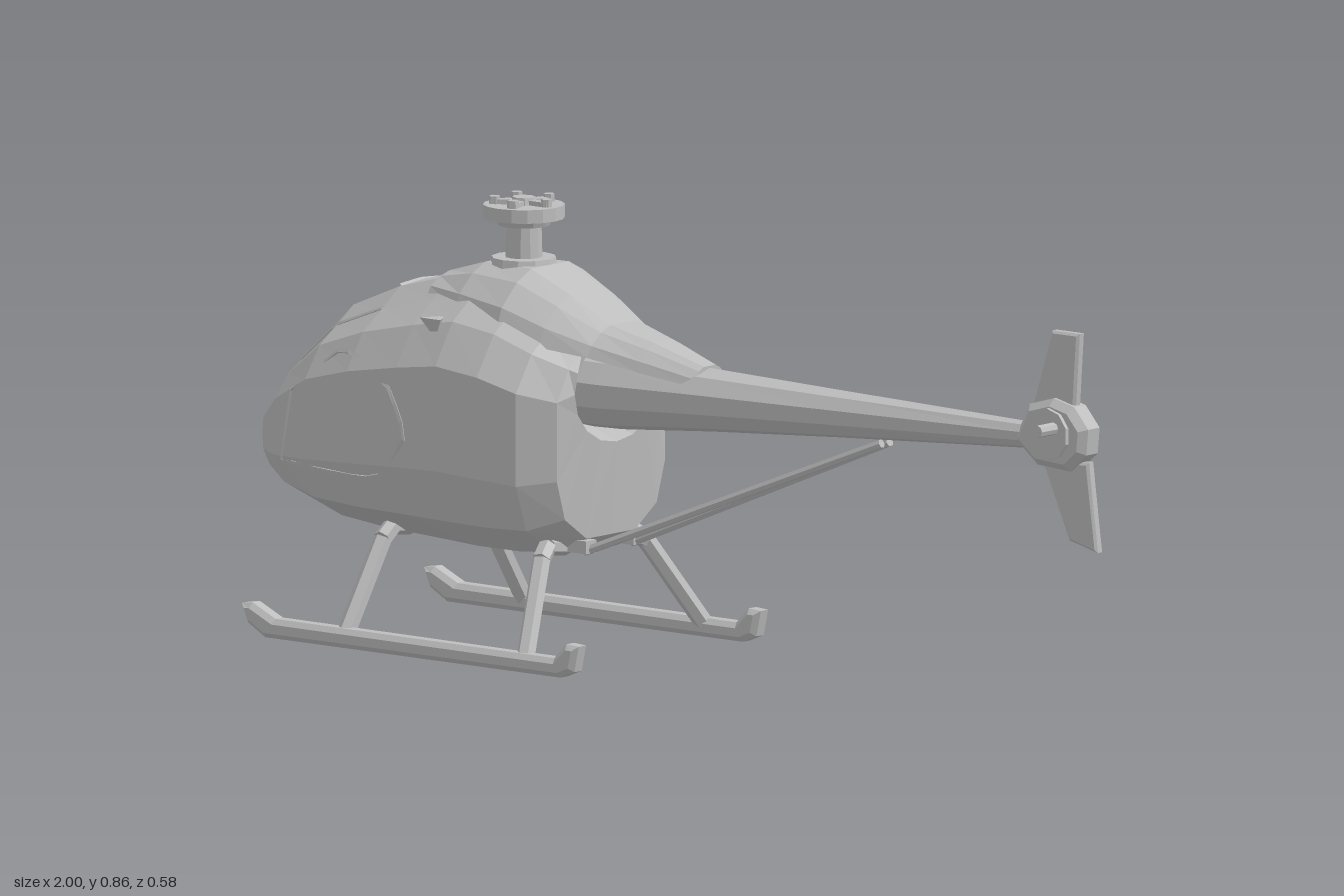
import * as THREE from 'three';

const grey = new THREE.MeshStandardMaterial({ color: 0xbdbdbd, flatShading: true });
grey.name = 'plain grey';

const V = (x, y, z) => new THREE.Vector3(x, y, z);

// Closed skin over equal-length rings that advance along x, with both ends capped.
function loft(rings) {
  const n = rings[0].length, pos = [], idx = [];
  rings.forEach(r => r.forEach(p => pos.push(p.x, p.y, p.z)));
  for (let i = 0; i < rings.length - 1; i++) {
    for (let k = 0; k < n; k++) {
      const a = i * n + k, b = i * n + (k + 1) % n;
      idx.push(a, a + n, b, b, a + n, b + n);
    }
  }
  [0, rings.length - 1].forEach((ri, end) => {
    const c = pos.length / 3;
    const m = rings[ri].reduce((s, p) => s.add(p), V(0, 0, 0)).divideScalar(n);
    pos.push(m.x, m.y, m.z);
    for (let k = 0; k < n; k++) {
      const a = ri * n + k, b = ri * n + (k + 1) % n;
      if (end) idx.push(c, b, a); else idx.push(c, a, b);
    }
  });
  const g = new THREE.BufferGeometry();
  g.setAttribute('position', new THREE.Float32BufferAttribute(pos, 3));
  g.setIndex(idx);
  const flat = g.toNonIndexed();
  flat.computeVertexNormals();
  return flat;
}

// Mirrors a half section (bottom to top on +z) into a full ring.
const mirrorRing = half => [...half, ...half.slice(1, -1).reverse().map(p => V(p.x, p.y, -p.z))];

const ovalRing = (x, y, rz, ry, n) => Array.from({ length: n }, (_, k) => {
  const a = (k / n) * Math.PI * 2;
  return V(x, y - Math.cos(a) * ry, Math.sin(a) * rz);
});

// Hull section shape: [share of half width, share of height]
const profile = [[0, 0], [0.45, 0], [0.85, 0.11], [1, 0.3], [1, 0.68], [0.78, 0.83], [0.52, 0.91], [0.28, 0.99], [0, 1]];
// Hull stations: x, bottom, top, half width
const stations = [
  [-1, 0.325, 0.39, 0.085], [-0.965, 0.285, 0.45, 0.125], [-0.9, 0.25, 0.535, 0.168], [-0.8, 0.22, 0.625, 0.2],
  [-0.68, 0.21, 0.675, 0.22], [-0.55, 0.205, 0.71, 0.23], [-0.45, 0.2, 0.732, 0.233], [-0.35, 0.2, 0.715, 0.23],
  [-0.27, 0.205, 0.675, 0.21], [-0.21, 0.235, 0.635, 0.16],
];
const hullPoint = ([x, b, t, w], [pz, py]) => V(x, b + (t - b) * py, w * pz);

// Half width of the hull at a given x and y
function hullZ(x, y) {
  let i = 0;
  while (i < stations.length - 2 && stations[i + 1][0] < x) i++;
  const f = (x - stations[i][0]) / (stations[i + 1][0] - stations[i][0]);
  const [, b, t, w] = stations[i].map((v, k) => v + (stations[i + 1][k] - v) * f);
  const py = (y - b) / (t - b);
  let k = 1;
  while (k < profile.length - 2 && profile[k + 1][1] < py) k++;
  const [p, q] = [profile[k], profile[k + 1]];
  return w * (p[0] + (q[0] - p[0]) * (py - p[1]) / (q[1] - p[1]));
}

// Slim seam following a run of points
function seam(points, closed, r = 0.005) {
  return new THREE.TubeGeometry(new THREE.CatmullRomCurve3(points, closed, 'catmullrom', 0), points.length * 3, r, 4, closed);
}

function bar(a, b, r, sides = 6) {
  const d = b.clone().sub(a);
  const g = new THREE.CylinderGeometry(r, r, d.length(), sides);
  g.applyQuaternion(new THREE.Quaternion().setFromUnitVectors(V(0, 1, 0), d.clone().normalize()));
  return g.translate((a.x + b.x) / 2, (a.y + b.y) / 2, (a.z + b.z) / 2);
}

// Flat plate drawn in x and y, centred on z
function plate(points, depth, bevel = 0) {
  const s = new THREE.Shape(points.map(p => new THREE.Vector2(...p)));
  return new THREE.ExtrudeGeometry(s, {
    depth: depth - 2 * bevel, bevelEnabled: bevel > 0, bevelSize: bevel, bevelOffset: -bevel,
    bevelThickness: bevel, bevelSegments: 1,
  }).translate(0, 0, -depth / 2 + bevel);
}

export function createModel() {
  const model = new THREE.Group();
  model.name = 'helicopter';
  const add = (name, geo, parent = model) => {
    const m = new THREE.Mesh(geo, grey);
    m.name = name;
    parent.add(m);
    return m;
  };
  const disc = (name, r1, r2, y0, y1, sides = 12) =>
    add(name, new THREE.CylinderGeometry(r2, r1, y1 - y0, sides).translate(-0.425, (y0 + y1) / 2, 0));

  // Hull, ending in a funnel around the boom root
  const rings = stations.map(s => mirrorRing(profile.map(p => hullPoint(s, p))));
  rings.push(ovalRing(-0.195, 0.52, 0.125, 0.105, 16), ovalRing(-0.28, 0.52, 0.075, 0.07, 16));
  add('hull', loft(rings));

  // Engine cowling and its beak: x, base, top, half width
  const arch = [[0, 0], [1, 0], [0.9, 0.4], [0.62, 0.8], [0.35, 1], [0, 1]];
  const cowl = [[-0.58, 0.67, 0.708, 0.1], [-0.48, 0.65, 0.737, 0.14], [-0.36, 0.63, 0.737, 0.16],
    [-0.27, 0.605, 0.695, 0.14], [-0.18, 0.59, 0.645, 0.105], [-0.08, 0.57, 0.62, 0.08], [0.035, 0.55, 0.585, 0.05]];
  add('engineCowling', loft(cowl.map(s => mirrorRing(arch.map(p => hullPoint(s, p))))));

  // Tail boom
  const boom = [[-0.28, 0.512, 0.085, 0.075], [-0.18, 0.513, 0.085, 0.073], [0.04, 0.52, 0.072, 0.061],
    [0.35, 0.527, 0.053, 0.046], [0.84, 0.537, 0.025, 0.025]];
  add('tailBoom', loft(boom.map(([x, y, rz, ry]) => ovalRing(x, y, rz, ry, 10))));

  // Tail gearbox, fins and rotor shaft
  add('tailGearbox', plate([[0.805, 0.53], [0.84, 0.6], [0.9, 0.617], [0.95, 0.605], [0.985, 0.565],
    [0.98, 0.515], [0.94, 0.48], [0.86, 0.485]].reverse(), 0.062, 0.014));
  add('upperFin', plate([[0.84, 0.595], [0.945, 0.595], [0.955, 0.745], [0.888, 0.745]], 0.022, 0.005));
  add('lowerFin', plate([[0.865, 0.49], [0.93, 0.345], [1, 0.328], [0.978, 0.5]], 0.022, 0.005));
  add('tailRotorCap', new THREE.CylinderGeometry(0.05, 0.05, 0.078, 10).rotateX(Math.PI / 2).translate(0.9, 0.55, 0));
  add('tailRotorShaft', bar(V(0.917, 0.563, 0.03), V(0.917, 0.563, 0.087), 0.012, 8));

  // Rotor mast and hub
  disc('mastBase', 0.066, 0.062, 0.725, 0.747);
  disc('mast', 0.036, 0.034, 0.74, 0.815);
  disc('hubCollar', 0.05, 0.056, 0.808, 0.822);
  disc('hubPlate', 0.078, 0.078, 0.822, 0.848, 16);
  disc('hubCap', 0.025, 0.022, 0.845, 0.862, 8);
  for (let i = 0; i < 5; i++) {
    const a = (i / 5) * Math.PI * 2;
    add('hubArm', new THREE.BoxGeometry(0.055, 0.012, 0.018).translate(0.035, 0, 0).rotateY(a).translate(-0.425, 0.851, 0));
    add('hubBolt', new THREE.CylinderGeometry(0.011, 0.011, 0.02, 6)
      .translate(0.056 * Math.cos(a), 0.853, -0.056 * Math.sin(a)).translate(-0.425, 0, 0));
  }

  // Windscreen cross seam
  add('windscreenSeam', seam([7, 8, 9].map(k => rings[4][k]), false));

  const doorOutline = [[-0.88, 0.33], [-0.845, 0.47], [-0.73, 0.555], [-0.68, 0.56], [-0.565, 0.505],
    [-0.525, 0.42], [-0.58, 0.34], [-0.64, 0.325], [-0.76, 0.327]];
  const skidOutline = [[-0.888, 0.066], [-0.872, 0.03], [-0.83, 0.006], [-0.1, 0.006], [-0.066, 0.02],
    [-0.055, 0.07], [-0.085, 0.072], [-0.115, 0.042], [-0.805, 0.044], [-0.862, 0.07]];

  for (const s of [1, -1]) {
    const side = new THREE.Group();
    side.name = s > 0 ? 'leftSide' : 'rightSide';
    model.add(side);

    // Side window frame and windscreen edge
    add('windowFrame', seam(doorOutline.map(([x, y]) => V(x, y, s * hullZ(x, y))), true), side);
    const edge = stations.slice(0, 5).map(st => hullPoint(st, profile[6]));
    add('windscreenEdge', seam(edge.map(p => V(p.x, p.y, s * p.z)), false, 0.004), side);

    // Air inlet
    add('airInlet', new THREE.ConeGeometry(0.03, 0.04, 3).rotateX(Math.PI).translate(-0.49, 0.625, s * 0.185), side);

    // Skid runner
    add('skid', plate(skidOutline, 0.042, 0.01).translate(0, 0, s * 0.27), side);

    // Bent legs: top x, foot x
    for (const [name, xt, xf] of [['frontLeg', -0.645, -0.645], ['rearLeg', -0.262, -0.2]]) {
      const path = [V(xt, 0.215, s * 0.07), V(xt, 0.222, s * 0.125), V(xt + (xf - xt) * 0.15, 0.2, s * 0.155), V(xf, 0.03, s * 0.265)];
      for (let i = 0; i < 3; i++) add(name, bar(path[i], path[i + 1], 0.018), side);
    }

    // Boom brace
    add('boomStrut', bar(V(-0.215, 0.21, s * 0.07), V(0.47, 0.483, s * 0.012), 0.009), side);
    add('strutFoot', new THREE.BoxGeometry(0.05, 0.025, 0.03).translate(-0.225, 0.22, s * 0.07), side);
  }
  return model;
}
